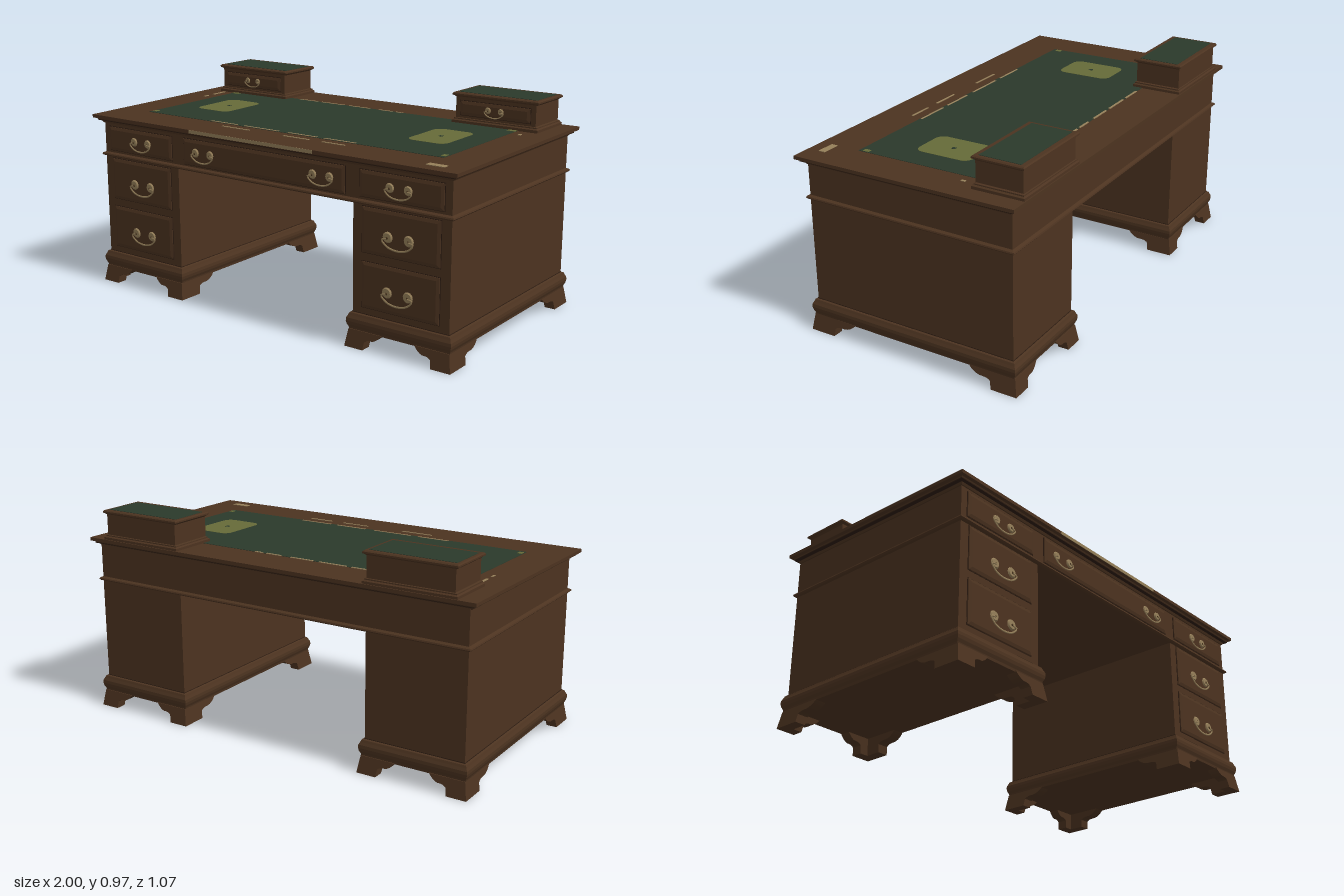
import * as THREE from 'three';

const mat = (name, color) => {
  const m = new THREE.MeshStandardMaterial({ color });
  m.name = name;
  return m;
};

export function createModel() {
  const wood = mat('walnut', 0x4c3320);
  const darkWood = mat('dark walnut', 0x2e1d12);
  const leather = mat('green leather', 0x2b392b);
  const olive = mat('olive tooling', 0x666b38);
  const brass = mat('worn brass', 0x96805a);
  const bronze = mat('dark bronze', 0x4a3620);

  const desk = new THREE.Group();
  desk.name = 'pedestalDesk';

  // The writing surface slopes very slightly towards the sitter
  const top = new THREE.Group();
  top.name = 'writingSurface';
  top.rotation.x = 0.008;
  top.position.z = -0.0066;
  desk.add(top);

  const add = (name, geometry, material, x = 0, y = 0, z = 0, parent = desk) => {
    const m = new THREE.Mesh(geometry, material);
    m.name = name;
    m.position.set(x, y, z);
    parent.add(m);
    return m;
  };
  const plate = (name, w, d, material, x, y, z, h = 0.0015, parent = top) =>
    add(name, new THREE.BoxGeometry(w, h, d), material, x, y + h / 2, z, parent);

  // Moulded block: a rectangle swept upward through [outset, height] steps.
  const moulded = (w, d, profile, bottomCap = true, topCap = true) => {
    const ring = ([o, y]) => {
      const x = w / 2 + o, z = d / 2 + o;
      return [[-x, y, z], [x, y, z], [x, y, -z], [-x, y, -z]];
    };
    const rings = profile.map(ring), pos = [];
    const quad = (a, b, c, e) => pos.push(...a, ...b, ...c, ...a, ...c, ...e);
    for (let i = 0; i < rings.length - 1; i++) {
      const p = rings[i], q = rings[i + 1];
      for (let k = 0; k < 4; k++) {
        const n = (k + 1) % 4;
        quad(p[k], p[n], q[n], q[k]);
      }
    }
    if (topCap) quad(...rings[rings.length - 1]);
    if (bottomCap) quad(...[...rings[0]].reverse());
    const g = new THREE.BufferGeometry();
    g.setAttribute('position', new THREE.Float32BufferAttribute(pos, 3));
    g.computeVertexNormals();
    return g;
  };

  // Drop handle: two flat roses joined by a curved bail, lying close to the drawer.
  const handle = (x, y, z, s = 1) => {
    const g = new THREE.Group();
    g.name = 'dropHandle';
    for (const sx of [-1, 1]) {
      const rose = add('handleRose', new THREE.CylinderGeometry(0.017, 0.022, 0.01, 12), brass, sx * 0.046, 0, 0.005, g);
      rose.rotation.x = Math.PI / 2;
      add('handleKnob', new THREE.SphereGeometry(0.005, 10, 8), bronze, sx * 0.046, -0.002, 0.01, g);
    }
    const bail = new THREE.CatmullRomCurve3([
      [-0.046, -0.004, 0.014], [-0.068, -0.01, 0.013], [-0.045, -0.034, 0.012], [0, -0.044, 0.012],
      [0.045, -0.034, 0.012], [0.068, -0.01, 0.013], [0.046, -0.004, 0.014],
    ].map((p) => new THREE.Vector3(...p)));
    add('handleBail', new THREE.TubeGeometry(bail, 28, 0.004, 6), brass, 0, 0, 0, g);
    g.position.set(x, y, z);
    g.scale.set(s, s, 0.6);
    desk.add(g);
  };

  // Drawer front: dark shadow gap behind a raised bevelled panel.
  const drawer = (x, y, w, h, z) => {
    add('drawerGap', moulded(w, h, [[0.003, 0], [0.003, 0.002]], false).rotateX(Math.PI / 2), darkWood, x, y, z);
    add('drawerFront', moulded(w, h, [[0, 0], [0, 0.005], [-0.014, 0.009]], false).rotateX(Math.PI / 2), wood, x, y, z);
  };

  // Bracket foot outline; the shape runs inward from the corner.
  const bracket = (dir, base, reach) => {
    const s = new THREE.Shape();
    s.moveTo(0, 0);
    s.lineTo(-dir * base, 0);
    s.lineTo(-dir * base, 0.035);
    s.quadraticCurveTo(-dir * (base + 0.01), 0.048, -dir * (base + (reach - base) * 0.5), 0.046);
    s.quadraticCurveTo(-dir * (reach - 0.015), 0.052, -dir * reach, 0.078);
    s.lineTo(0, 0.078);
    s.closePath();
    return new THREE.ExtrudeGeometry(s, { depth: 0.05, bevelEnabled: false, curveSegments: 6 });
  };
  // Splay a foot outward towards the floor.
  const splay = (g, sx, sz) => {
    const p = g.attributes.position;
    for (let i = 0; i < p.count; i++) {
      const out = 0.013 * (1 - p.getY(i) / 0.078);
      p.setX(i, p.getX(i) + sx * out);
      p.setZ(i, p.getZ(i) + sz * out);
    }
    g.computeVertexNormals();
    return g;
  };

  // Carcass depth, centre and drawer plane
  const depth = 0.995, mid = -0.005, face = mid + depth / 2;

  // Desk top with moulded edge
  add('deskTop', moulded(2, 1.066, [[-0.035, 0.79], [-0.03, 0.8], [-0.018, 0.804], [-0.014, 0.812], [0, 0.815], [0, 0.83]]), wood, 0, 0, 0, top);
  add('deskTopShadowLine', moulded(2, 1.066, [[-0.03, 0.8], [-0.016, 0.803], [-0.016, 0.807]], false, false), darkWood, 0, 0, 0, top);
  plate('writingLeather', 1.64, 0.67, leather, 0, 0.83, 0);

  // Frieze and waist moulding, open between the pedestals
  add('frieze', moulded(1.92, depth, [[0, 0.628], [0, 0.8]], true, false), wood, 0, 0, mid);
  add('waistMoulding', moulded(1.92, depth, [[0, 0.624], [0.008, 0.627], [0.014, 0.633], [0.012, 0.639], [0, 0.645]], true, false), wood, 0, 0, mid);
  drawer(0, 0.714, 0.9, 0.118, face);
  for (const s of [-1, 1]) handle(s * 0.33, 0.715, face + 0.009, 0.95);

  for (const s of [-1, 1]) {
    // Pedestal
    const px = s * 0.725, hx = s * 0.717;
    add('pedestal', moulded(0.47, depth, [[0, 0.15], [0, 0.628]], false, false), wood, px, 0, mid);
    drawer(px, 0.714, 0.4, 0.112, face);
    handle(hx, 0.715, face + 0.009, 0.95);
    for (const [y, h] of [[0.52, 0.195], [0.283, 0.2]]) {
      drawer(px, y, 0.375, h, face);
      handle(hx, y - 0.012, face + 0.009, 1.1);
    }

    // Plinth with a rounded shoulder and hollow below
    add('plinth', moulded(0.47, depth, [[0.01, 0.074], [0.012, 0.085], [0.018, 0.098], [0.021, 0.112], [0.02, 0.126], [0.014, 0.138], [0.01, 0.148], [0, 0.152]], true, false), wood, px, 0, mid);
    add('plinthShadowLine', moulded(0.47, depth, [[0.002, 0.15], [0.002, 0.154]], false), darkWood, px, 0, mid);

    // Bracket feet
    for (const sx of [-1, 1]) {
      for (const sz of [-1, 1]) {
        const cx = px + sx * 0.246, cz = mid + sz * 0.512;
        add('footFrontBracket', splay(bracket(sx, 0.092, 0.165), sx, sz), wood, cx, 0, sz > 0 ? cz - 0.05 : cz);
        add('footSideBracket', splay(bracket(sz, 0.122, 0.22).rotateY(-Math.PI / 2), sx, sz), wood, sx > 0 ? cx : cx + 0.05, 0, cz);
      }
    }

    // Small drawer box on the desk top
    const bx = s * 0.7, bz = -0.408;
    add('topBoxBase', moulded(0.402, 0.21, [[0.015, 0.83], [0.015, 0.845], [0.008, 0.85], [0.008, 0.855], [0, 0.858]], false, false), wood, bx, 0, bz);
    add('topBoxBody', moulded(0.402, 0.216, [[0, 0.85], [0, 0.955]], false, false), wood, bx, 0, bz);
    add('topBoxLid', moulded(0.402, 0.21, [[0, 0.95], [0.007, 0.956], [0.014, 0.96], [0.014, 0.967], [0.009, 0.972]], false), wood, bx, 0, bz);
    plate('topBoxLeather', 0.395, 0.19, leather, bx, 0.972, bz, 0.0015, desk);
    drawer(bx, 0.903, 0.35, 0.065, bz + 0.108);
    handle(bx, 0.905, bz + 0.116, 0.7);

    // Olive panel on the leather, with a rounded outline and dark centre
    const r = 0.04, w = 0.097, d = 0.134, o = new THREE.Shape();
    o.moveTo(-w + r, -d);
    for (const [x, y, a] of [[w - r, -d + r, -1], [w - r, d - r, 0], [-w + r, d - r, 1], [-w + r, -d + r, 2]])
      o.absarc(x, y, r, a * Math.PI / 2, (a + 1) * Math.PI / 2, false);
    add('olivePanel', new THREE.ExtrudeGeometry(o, { depth: 0.001, bevelEnabled: false }).rotateX(-Math.PI / 2), olive, s * 0.605, 0.8315, 0.003, top);
    plate('olivePanelCentre', 0.018, 0.018, leather, s * 0.605, 0.8325, 0.003, 0.001);

    // Corner tooling
    plate('cornerTooling', 0.042, 0.025, olive, s * 0.8, 0.8315, -0.276, 0.001);
    plate('cornerTooling', 0.022, 0.03, olive, s * 0.805, 0.8315, 0.302, 0.001);
  }

  // Worn gilt along the leather border and the rails: [x, z, width, depth]
  for (const [x, z, w, d] of [
    [-0.37, -0.333, 0.11, 0.01], [-0.22, -0.333, 0.14, 0.01], [-0.06, -0.333, 0.12, 0.01], [0.09, -0.333, 0.08, 0.01], [0.17, -0.333, 0.04, 0.01],
    [-0.35, 0.327, 0.16, 0.01], [-0.13, 0.327, 0.2, 0.01], [0.1, 0.327, 0.16, 0.01], [0.3, 0.327, 0.17, 0.01],
    [-0.23, 0.387, 0.16, 0.009], [0.11, 0.387, 0.14, 0.009], [0.31, 0.387, 0.12, 0.009],
    [-0.877, -0.23, 0.011, 0.09], [-0.877, -0.13, 0.009, 0.03], [0.867, -0.22, 0.012, 0.02], [0.865, 0.46, 0.085, 0.032],
  ]) plate('wornGilt', w, d, brass, x, 0.83, z, 0.0025);
  add('wornFrontEdge', new THREE.BoxGeometry(0.69, 0.015, 0.002), brass, -0.035, 0.8223, 0.5335, top);

  return desk;
}
